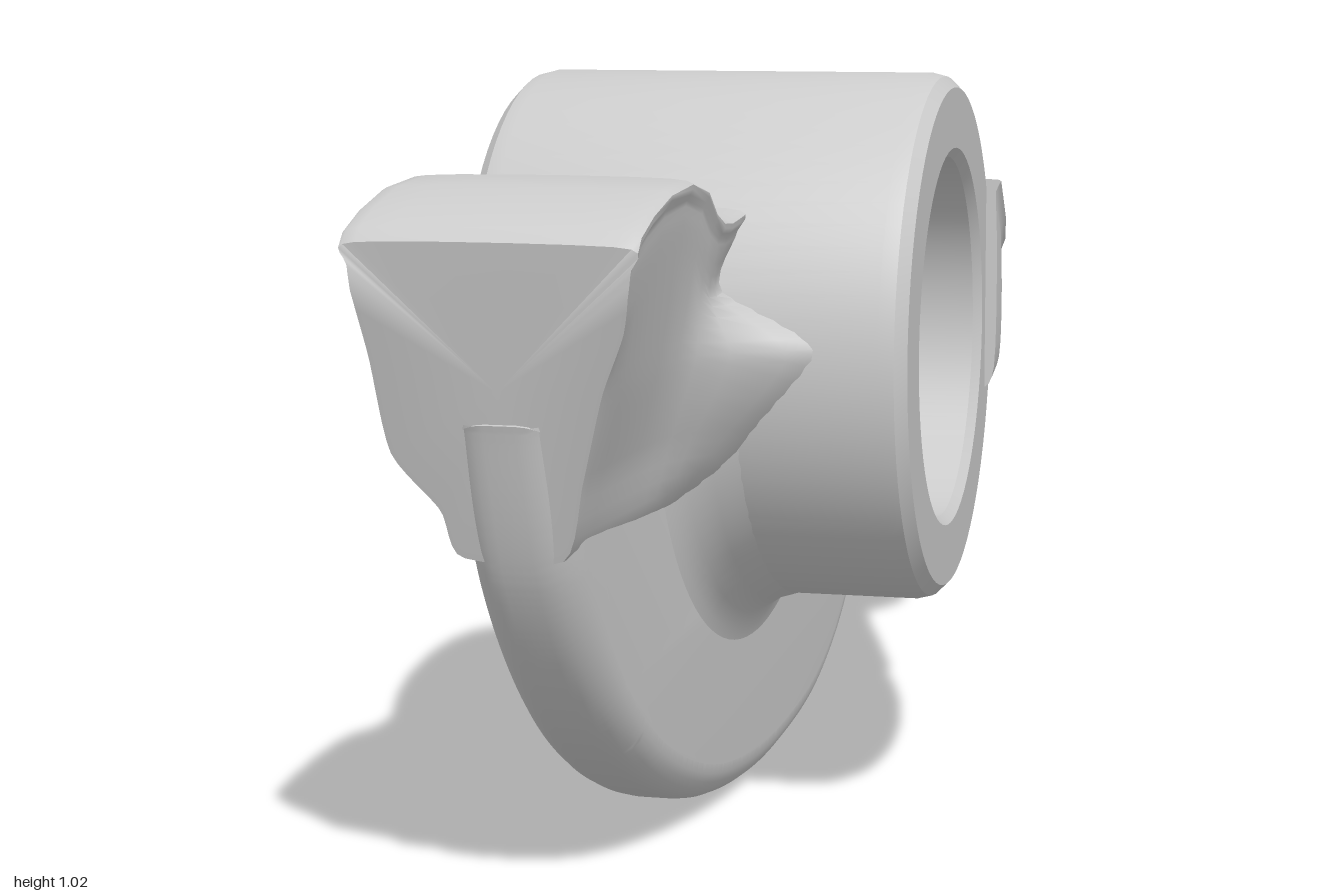
import * as THREE from 'three';
import { toCreasedNormals } from 'three/addons/utils/BufferGeometryUtils.js';

const BORE = { y: 0.66, z: 0.17 };
const webX = z => -0.045 - 0.06 * z; // the web runs slightly askew
const material = new THREE.MeshStandardMaterial({ color: 0xcccccc, side: THREE.DoubleSide });

function part(name, geometry, crease = 0.7) {
  const mesh = new THREE.Mesh(toCreasedNormals(geometry, crease), material);
  mesh.name = name;
  return mesh;
}

// Move every vertex by a rule
function warp(geometry, rule) {
  const p = geometry.attributes.position;
  const v = new THREE.Vector3();
  for (let i = 0; i < p.count; i++) {
    rule(v.fromBufferAttribute(p, i));
    p.setXYZ(i, v.x, v.y, v.z);
  }
  geometry.computeVertexNormals();
  return geometry;
}

// Skin closed cross-sections (counter-clockwise in xy) stacked along +z
function loft(sections, n = 64) {
  const pos = [], idx = [];
  const rings = sections.map(({ z, points }) =>
    new THREE.CatmullRomCurve3(points.map(([x, y]) => new THREE.Vector3(x, y, z)), true, 'catmullrom', 0.35)
      .getPoints(n).slice(0, n));
  rings.forEach(ring => ring.forEach(p => pos.push(p.x, p.y, p.z)));
  for (let i = 0; i < rings.length - 1; i++) {
    for (let j = 0; j < n; j++) {
      const a = i * n + j, b = i * n + (j + 1) % n;
      idx.push(a, b, b + n, a, b + n, a + n);
    }
  }
  [0, rings.length - 1].forEach((r, end) => {
    const c = new THREE.Vector3();
    rings[r].forEach(p => c.addScaledVector(p, 1 / n));
    const centre = pos.length / 3;
    pos.push(c.x, c.y, c.z);
    for (let j = 0; j < n; j++) {
      const a = r * n + j, b = r * n + (j + 1) % n;
      idx.push(centre, ...(end ? [a, b] : [b, a]));
    }
  });
  const g = new THREE.BufferGeometry();
  g.setAttribute('position', new THREE.Float32BufferAttribute(pos, 3));
  g.setIndex(idx);
  g.computeVertexNormals();
  return g;
}

const lathe = (points, segments, ...arc) =>
  new THREE.LatheGeometry(points.map(([r, y]) => new THREE.Vector2(r, y)), segments, ...arc);

// Hollow pivot tube along x
function pivotTube() {
  const h = 0.3;
  const half = [[0.365, h - 0.035], [0.36, h - 0.015], [0.345, h], [0.262, h], [0.25, h - 0.012]];
  const lower = half.map(([r, y]) => [r, -y]).reverse();
  const g = lathe([...lower, ...half, lower[0]], 72);
  return part('pivotTube', g.rotateZ(Math.PI / 2).translate(0, BORE.y, BORE.z), 0.5);
}

// Curved plate hanging below the tube
function web() {
  const shape = new THREE.Shape();
  shape.moveTo(0.96, 0.64);
  shape.splineThru([[0.89, 0.43], [0.76, 0.25], [0.6, 0.125], [0.4, 0.04], [0.2, 0.004], [0, 0.006],
    [-0.2, 0.045], [-0.36, 0.135], [-0.5, 0.29], [-0.58, 0.4], [-0.66, 0.47]].map(p => new THREE.Vector2(...p)));
  shape.lineTo(-0.72, 0.66);
  shape.lineTo(BORE.z - 0.28, BORE.y);
  shape.absarc(BORE.z, BORE.y, 0.28, Math.PI, Math.PI * 2, false);
  const b = 0.05;
  const g = new THREE.ExtrudeGeometry(shape, {
    depth: 0.04, bevelThickness: b, bevelSize: b, bevelOffset: -b, bevelSegments: 6, curveSegments: 32,
  });
  g.translate(0, 0, -0.02).rotateY(-Math.PI / 2);
  return part('web', warp(g, v => { v.x += webX(v.z); }));
}

// Concave blend between web and tube
function webFillet() {
  const half = [[0.45, 0.066], [0.42, 0.074], [0.395, 0.09], [0.375, 0.12], [0.36, 0.17]];
  const lower = half.map(([r, y]) => [r, -y]).reverse();
  const g = lathe([...lower, ...half], 48, Math.PI + 0.03, Math.PI - 0.03);
  g.rotateZ(Math.PI / 2).translate(0, BORE.y, BORE.z);
  return part('webFillet', warp(g, v => { v.x += webX(v.z); }));
}

// Valve arm: tapering plate with its underside running down into the web
function arm() {
  const rows = [ // z, half width, top, edge bottom, foot
    [-0.78, 0.17, 0.82, 0.63, 0.53], [-0.62, 0.188, 0.805, 0.63, 0.48], [-0.45, 0.222, 0.78, 0.61, 0.49],
    [-0.32, 0.26, 0.757, 0.595, 0.48], [-0.25, 0.278, 0.757, 0.58, 0.47], [-0.21, 0.288, 0.772, 0.565, 0.46],
    [-0.17, 0.294, 0.805, 0.55, 0.45], [-0.12, 0.294, 0.86, 0.54, 0.45],
  ];
  return part('arm', loft(rows.map(([z, h, top, bottom, foot]) => {
    const c = webX(z), m = 0.02;
    const side = s => [[c + s * 0.07, foot], [c + s * 0.11, bottom - 0.05], [m + s * (h - 0.04), bottom],
      [m + s * h, bottom + 0.04], [m + s * h, top - 0.03], [m + s * (h - 0.03), top]];
    return { z, points: [...side(1), ...side(-1).reverse()] };
  })), 0.9);
}

// Cam follower pad, flaring into the tube at its root
function pad() {
  const rows = [ // z, left bulge, right bulge, top
    [0.46, -0.285, 0.28, 0.86], [0.51, -0.28, 0.23, 0.855], [0.55, -0.27, 0.15, 0.852],
    [0.59, -0.262, 0.085, 0.855], [0.63, -0.26, 0.05, 0.87], [0.67, -0.26, 0.035, 0.9],
    [0.75, -0.26, 0.03, 0.916], [0.85, -0.26, 0.03, 0.91], [0.93, -0.26, 0.03, 0.892],
    [0.985, -0.26, 0.03, 0.872], [1.0, -0.255, 0.025, 0.856],
  ];
  const g = loft(rows.map(([z, l, r, top]) => {
    const c = webX(z), foot = 0.47;
    return { z, points: [[c + 0.062, foot], [(c + 0.062 + r) / 2, 0.57], [r, 0.68], [0.058, top - 0.1],
      [0.07, top - 0.03], [0.06, top], [-0.26, top], [-0.27, top - 0.03], [l, 0.72], [l + 0.012, 0.6],
      [c - 0.085, 0.53], [c - 0.065, foot]] };
  }));
  // Lean the nose back towards the web
  warp(g, v => { v.z -= Math.max(0, 0.8 - v.y) * 0.3 * THREE.MathUtils.smoothstep(v.z, 0.6, 1); });
  return part('pad', g, 0.9);
}

// Tilted boss with adjusting screw; heights run along the screw axis, bottom to top
function adjuster() {
  const group = new THREE.Group();
  group.name = 'adjuster';
  const boss = part('boss', lathe([[0, -0.295], [0.15, -0.295], [0.172, -0.285], [0.184, -0.262],
    [0.184, -0.1], [0.178, -0.03], [0.165, -0.008], [0.14, 0], [0, 0.002]], 48));
  const stud = part('stud', lathe([[0.1, -0.01], [0.088, 0.006], [0.076, 0.03], [0.072, 0.1],
    [0.06, 0.125], [0.04, 0.135], [0, 0.137]], 32));
  const nut = part('lockNut', lathe([[0, -0.45], [0.11, -0.45], [0.13, -0.435], [0.135, -0.4],
    [0.162, -0.375], [0.168, -0.35], [0.168, -0.31], [0.16, -0.285], [0, -0.28]], 32));
  const tip = part('screwTip', lathe([[0, -0.575], [0.035, -0.57], [0.058, -0.55], [0.075, -0.49],
    [0.09, -0.46], [0.11, -0.44]], 32));
  group.add(boss, stud, nut, tip);
  group.position.set(0.02, 0.815, -0.72);
  group.rotation.x = 0.305;
  return group;
}

export function createModel() {
  const model = new THREE.Group();
  model.name = 'rockerArm';
  model.add(pivotTube(), web(), webFillet(), arm(), pad(), adjuster());
  return model;
}
